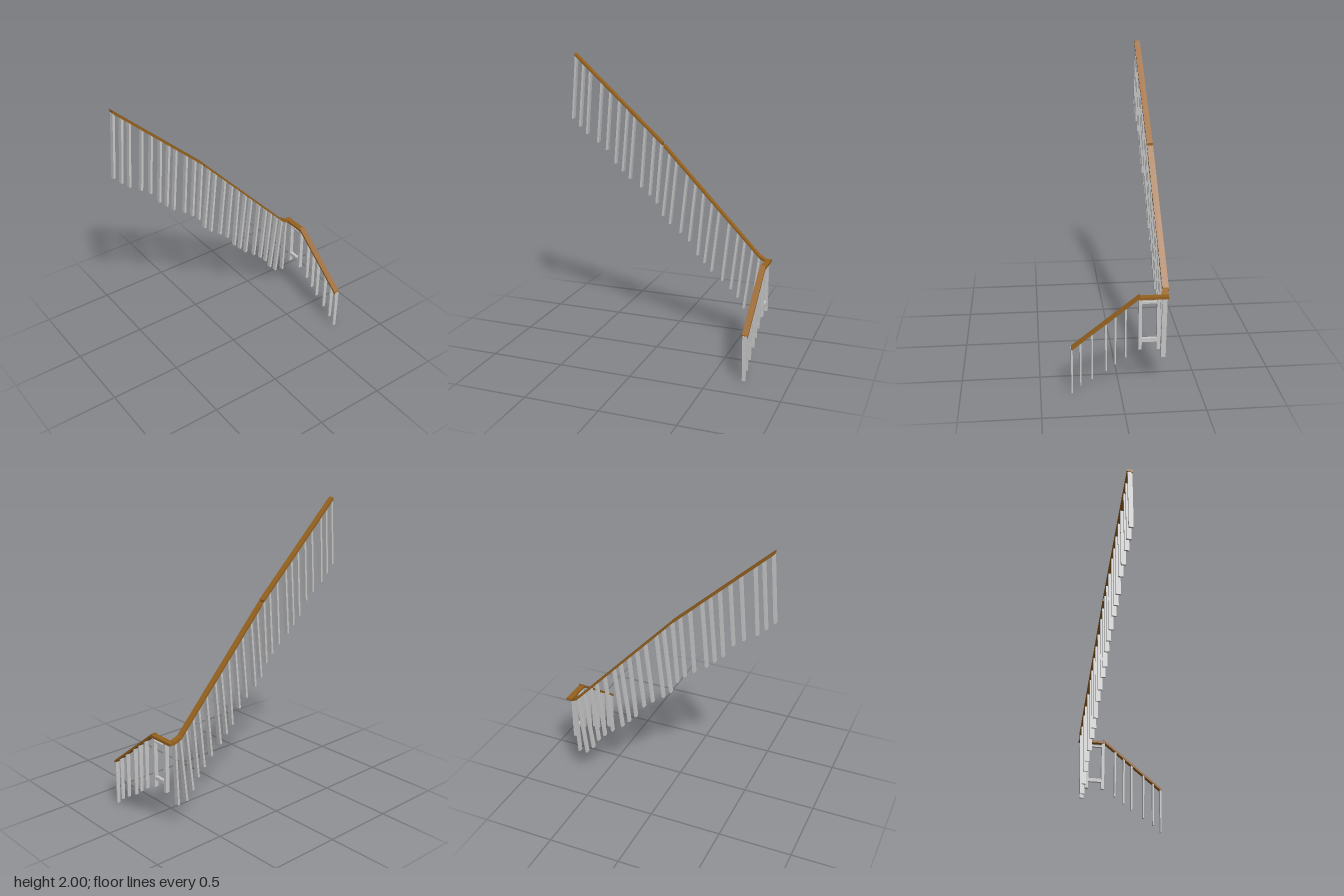
import * as THREE from 'three';

const wood = new THREE.MeshStandardMaterial({ color: 0x96621f });
wood.name = 'wood';
const paint = new THREE.MeshStandardMaterial({ color: 0xc8c8c8 });
paint.name = 'pale grey paint';

const V = (x, y, z) => new THREE.Vector3(x, y, z);

// Sheared box from a to b; u and v are the full section vectors, (u, b-a, v) right-handed
function beam(name, material, a, b, u, v, startScale = 1) {
  const geo = new THREE.BoxGeometry(1, 1, 1);
  const pos = geo.attributes.position;
  for (let i = 0; i < pos.count; i++) {
    const t = pos.getY(i) + 0.5;
    const s = THREE.MathUtils.lerp(startScale, 1, t);
    const p = a.clone().lerp(b, t)
      .addScaledVector(u, pos.getX(i) * s)
      .addScaledVector(v, pos.getZ(i) * s);
    pos.setXYZ(i, p.x, p.y, p.z);
  }
  geo.computeVertexNormals();
  const mesh = new THREE.Mesh(geo, material);
  mesh.name = name;
  return mesh;
}

export function createModel() {
  const model = new THREE.Group();
  model.name = 'stairRailing';
  const railX = 0.713;

  // Long handrail in two lengths with a small gap, plus the easing at its foot
  const across = V(0, 0, 0.04), thick = V(0, 0.019, 0);
  const path = [V(-0.703, 1.986, -0.264), V(-0.056, 1.396, -0.276),
    V(-0.047, 1.384, -0.276), V(0.648, 0.655, -0.289), V(0.695, 0.63, -0.279)];
  model.add(beam('upperHandrail', wood, path[0], path[1], across, thick));
  model.add(beam('lowerHandrail', wood, path[2], path[3], across, thick));
  model.add(beam('handrailEasing', wood, path[3], path[4], across, thick));

  // Landing rail and short descending rail
  const wide = V(0.04, 0, 0);
  model.add(beam('landingHandrail', wood, V(railX, 0.631, -0.3), V(railX, 0.631, -0.115), V(0, 0.016, 0), wide));
  model.add(beam('shortHandrail', wood, V(railX, 0.641, -0.12), V(railX, 0.309, 0.305), V(0, 0.018, 0), wide));

  // Height and depth of the long rail at a given x
  const railPoint = (x) => {
    let i = 0;
    while (i < path.length - 2 && x > path[i + 1].x) i++;
    const t = (x - path[i].x) / (path[i + 1].x - path[i].x);
    return path[i].clone().lerp(path[i + 1], t);
  };

  // Leaning balusters of the long flight: [foot x, foot y, top x]
  const long = [
    [-0.728, 1.535, -0.695], [-0.675, 1.48, -0.64], [-0.622, 1.43, -0.59], [-0.538, 1.375, -0.505],
    [-0.472, 1.325, -0.44], [-0.408, 1.232, -0.375], [-0.353, 1.18, -0.315], [-0.3, 1.13, -0.262],
    [-0.216, 1.073, -0.184], [-0.152, 1.022, -0.118], [-0.1, 0.968, -0.066], [-0.053, 0.88, -0.005],
    [0, 0.828, 0.046], [0.078, 0.77, 0.124], [0.142, 0.714, 0.185], [0.205, 0.618, 0.243],
    [0.256, 0.565, 0.306], [0.309, 0.51, 0.357], [0.387, 0.45, 0.43], [0.45, 0.395, 0.495],
    [0.501, 0.34, 0.543], [0.547, 0.263, 0.6], [0.6, 0.208, 0.648], [0.663, 0.197, 0.682]];
  const longBars = new THREE.Group();
  longBars.name = 'longFlightBalusters';
  for (const [fx, fy, tx] of long) {
    const top = railPoint(tx);
    top.y -= 0.006;
    longBars.add(beam('baluster', paint, V(fx, fy, top.z + 0.003), top, V(0.015, 0, 0), V(0, 0, 0.031)));
  }
  model.add(longBars);

  // Tapered upright balusters of the short flight: [z, foot y]
  const shortBars = new THREE.Group();
  shortBars.name = 'shortFlightBalusters';
  for (const [z, y] of [[0.302, 0], [0.247, 0.05], [0.175, 0.095], [0.089, 0.145], [0.031, 0.19], [-0.033, 0.235]]) {
    const top = 0.541 - (z - 0.008) * 0.781;
    shortBars.add(beam('baluster', paint, V(railX, y, z), V(railX, top, z), V(0.031, 0, 0), V(0, 0, 0.012), 0.75));
  }
  model.add(shortBars);

  // Small frame under the landing rail
  const frame = new THREE.Group();
  frame.name = 'landingFrame';
  for (const z of [-0.123, -0.237]) {
    frame.add(beam('frameLeg', paint, V(railX, 0.285, z), V(railX, 0.626, z), V(0.028, 0, 0), V(0, 0, 0.021)));
  }
  for (const [y, h] of [[0.347, 0.025], [0.6, 0.012]]) {
    frame.add(beam('frameCrossbar', paint, V(railX, y, -0.235), V(railX, y, -0.125), V(0, h, 0), V(0.022, 0, 0)));
  }
  model.add(frame);

  return model;
}
